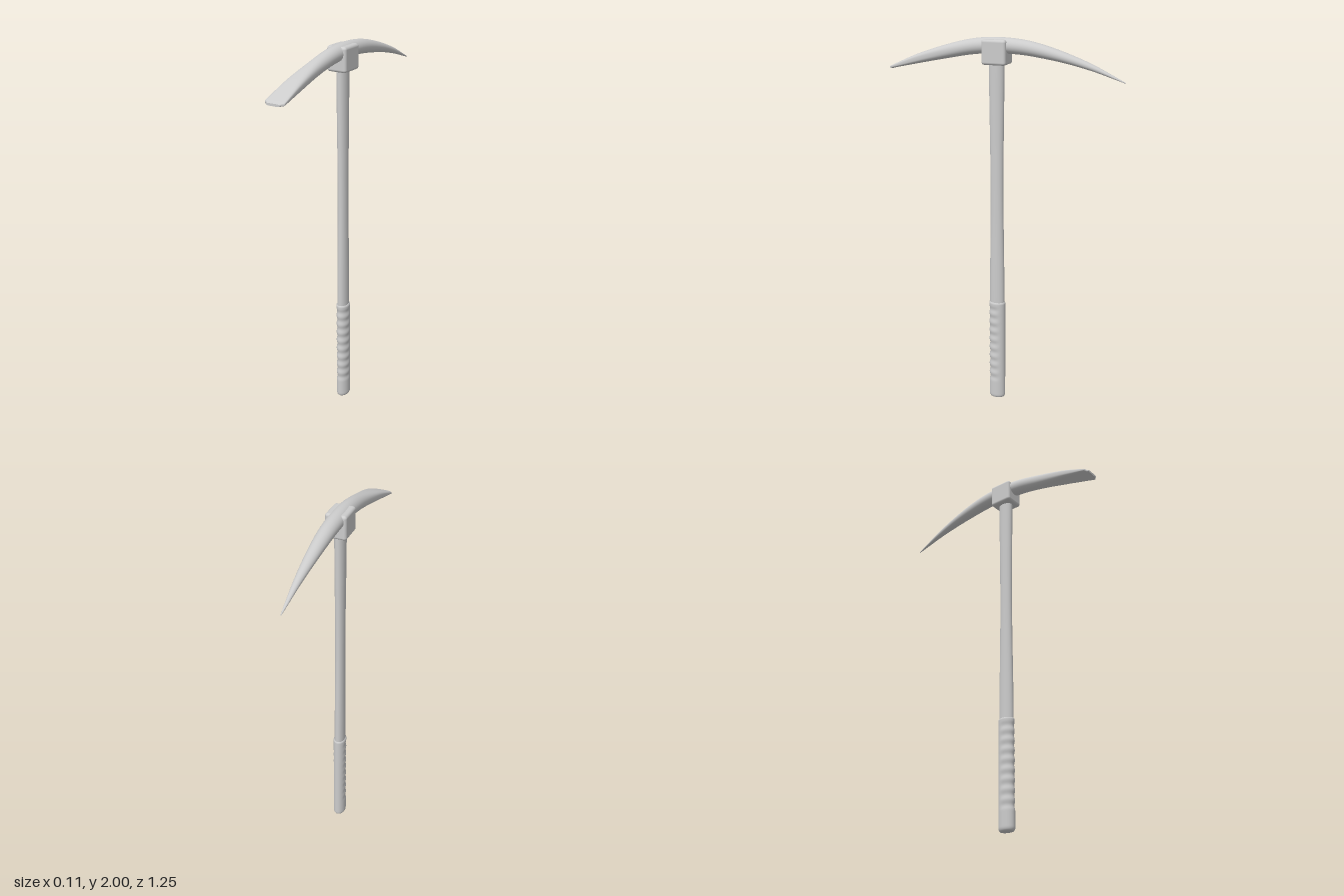
import * as THREE from 'three';
import { RoundedBoxGeometry } from 'three/addons/geometries/RoundedBoxGeometry.js';

const SIDES = 40;

// Skin a row of closed rings, with separate flat caps at both ends
function loft(rings) {
  const pos = [], index = [], n = SIDES;
  rings.forEach(r => r.forEach(p => pos.push(p.x, p.y, p.z)));
  for (let k = 0; k < rings.length - 1; k++) {
    for (let i = 0; i < n; i++) {
      const a = k * n + i, b = k * n + (i + 1) % n;
      index.push(a, a + n, b, b, a + n, b + n);
    }
  }
  for (const end of [0, 1]) {
    const ring = rings[end ? rings.length - 1 : 0];
    const centre = ring.reduce((s, p) => s.add(p), new THREE.Vector3()).divideScalar(n);
    const c = pos.length / 3;
    [centre, ...ring].forEach(p => pos.push(p.x, p.y, p.z));
    for (let i = 0; i < n; i++) {
      const a = c + 1 + i, b = c + 1 + (i + 1) % n;
      index.push(c, end ? b : a, end ? a : b);
    }
  }
  const g = new THREE.BufferGeometry();
  g.setAttribute('position', new THREE.Float32BufferAttribute(pos, 3));
  g.setIndex(index);
  g.computeVertexNormals();
  return g;
}

function ring(fn) {
  return Array.from({ length: SIDES }, (_, i) => {
    const a = (i / SIDES) * Math.PI * 2;
    return fn(Math.cos(a), Math.sin(a));
  });
}

const SHAFT_Z = 0.04;

function shaftGeometry() {
  const rings = [];
  for (let k = 0; k <= 24; k++) {
    const t = k / 24, y = 0.55 + t * 1.36;
    // slim waist halfway up
    const waist = Math.sin(Math.PI * t) ** 2;
    const rx = 0.028 - 0.003 * waist, rz = 0.041 - 0.006 * waist;
    rings.push(ring((c, s) => new THREE.Vector3(c * rx, y, SHAFT_Z + s * rz)));
  }
  return loft(rings);
}

function gripGeometry() {
  const rings = [], top = 0.577, round = 0.02;
  const add = (y, inset) => rings.push(ring((c, s) => {
    // finger ridges on the front and sides, smooth along the back
    const ridged = y > 0.1 && y < 0.56 ? Math.sin((y - 0.1) / 0.46 * Math.PI * 9) ** 2 : 0;
    const d = inset + 0.004 * ridged * THREE.MathUtils.smoothstep(s, -0.7, 0.2);
    return new THREE.Vector3(c * (0.034 - d), y, SHAFT_Z + s * (0.045 - d));
  }));
  for (let k = 0; k <= 5; k++) {
    const a = (k / 5) * Math.PI / 2;
    add(round * (1 - Math.sin(a)), round * 0.6 * (1 - Math.cos(a)));
  }
  rings.reverse();
  rings.sort((p, q) => p[0].y - q[0].y);
  for (let k = 1; k <= 90; k++) add(round + (top - 0.005 - round) * k / 90, 0);
  add(top, 0.004);
  return loft(rings);
}

function headGeometry() {
  // z, half width, top, bottom from the broad blade to the point
  const sections = [
    [0.605, 0.055, 1.842, 1.823], [0.46, 0.049, 1.905, 1.853], [0.3, 0.041, 1.957, 1.885],
    [0.16, 0.042, 1.99, 1.91], [0.035, 0.043, 2.0, 1.92], [-0.09, 0.041, 1.994, 1.918],
    [-0.2, 0.037, 1.974, 1.906], [-0.33, 0.029, 1.936, 1.885], [-0.46, 0.018, 1.888, 1.855],
    [-0.57, 0.008, 1.836, 1.822], [-0.624, 0.002, 1.81, 1.805],
  ];
  const shape = new THREE.CatmullRomCurve3(sections.map(s => new THREE.Vector3(s[1], s[2], s[3])), false, 'catmullrom');
  const along = new THREE.CatmullRomCurve3(sections.map(s => new THREE.Vector3(s[0], 0, 0)), false, 'catmullrom');
  const rings = [];
  const add = (z, w, top, bottom) => {
    // oval in the middle, squarer toward the blade
    const e = 1 - 0.45 * THREE.MathUtils.smoothstep(z, 0.15, 0.6);
    const pow = v => Math.sign(v) * Math.abs(v) ** e;
    rings.push(ring((c, s) => new THREE.Vector3(pow(c) * w, (top + bottom) / 2 + pow(s) * (top - bottom) / 2, z)));
  };
  // worn, narrowed cutting edge
  add(0.624, 0.036, 1.833, 1.821);
  add(0.614, 0.041, 1.837, 1.82);
  add(0.609, 0.053, 1.84, 1.821);
  for (let k = 0; k <= 60; k++) {
    const p = shape.getPoint(k / 60);
    add(along.getPoint(k / 60).x, p.x, p.y, p.z);
  }
  return loft(rings);
}

export function createModel() {
  const group = new THREE.Group();
  const grey = new THREE.MeshStandardMaterial({ color: 0xcccccc });
  grey.name = 'plain grey';
  const part = (name, geometry) => {
    const mesh = new THREE.Mesh(geometry, grey);
    mesh.name = name;
    group.add(mesh);
    return mesh;
  };

  part('shaft', shaftGeometry());
  part('grip', gripGeometry());
  part('pickHead', headGeometry());

  // block clamping the head to the shaft
  const socket = part('socket', new RoundedBoxGeometry(0.11, 0.126, 0.13, 4, 0.014));
  socket.position.set(0, 1.928, 0.039);
  return group;
}
